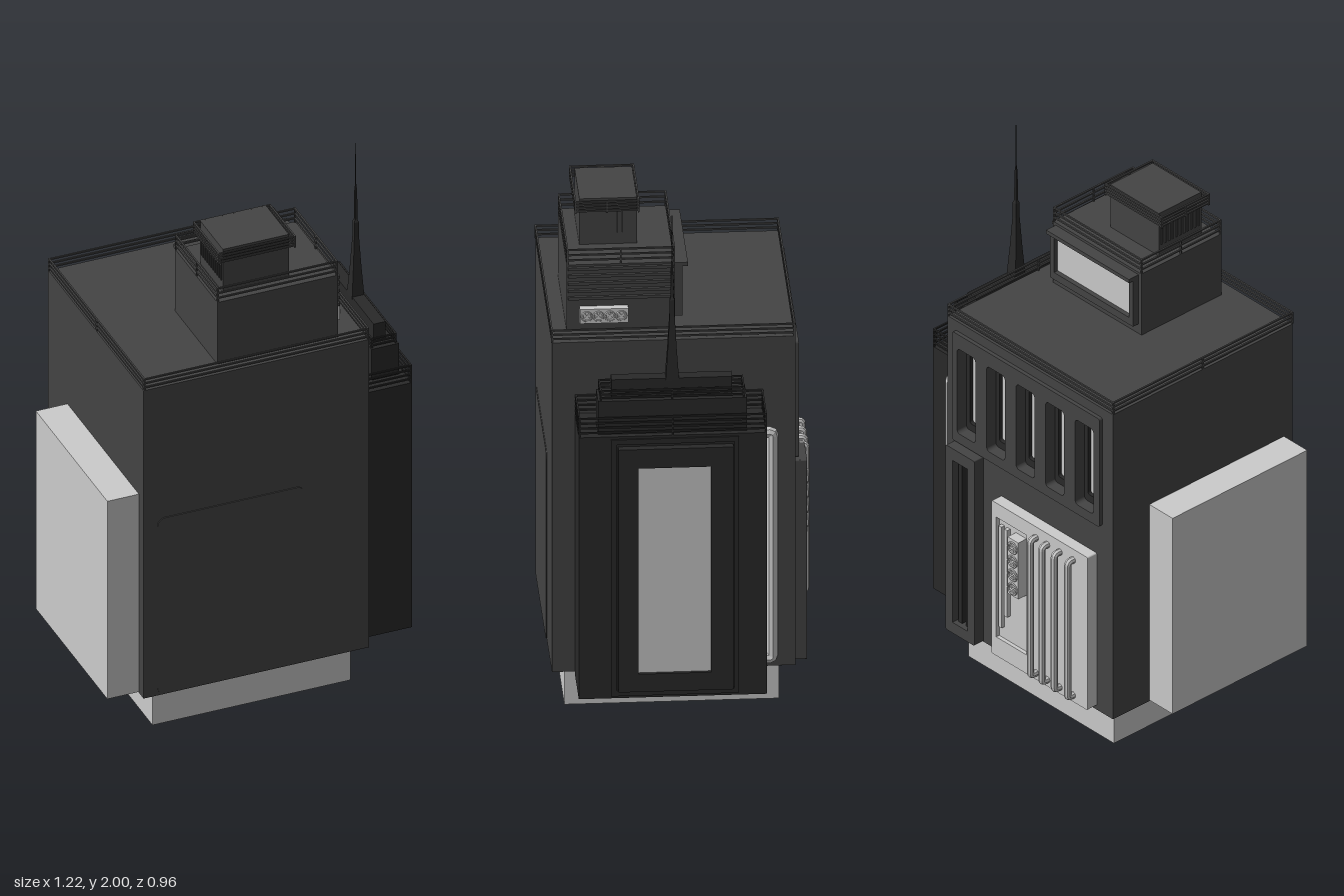
import * as THREE from 'three';

const mat = (color) => new THREE.MeshStandardMaterial({ color, flatShading: true });
const GREY = mat(0xcccccc), WALL = mat(0x444444), DARK = mat(0x292929);

// Box given by its limits on each axis
function box(parent, name, m, x0, x1, y0, y1, z0, z1) {
  const mesh = new THREE.Mesh(new THREE.BoxGeometry(x1 - x0, y1 - y0, z1 - z0), m);
  mesh.position.set((x0 + x1) / 2, (y0 + y1) / 2, (z0 + z1) / 2);
  mesh.name = name;
  parent.add(mesh);
  return mesh;
}

// Rounded rectangle traced into a Shape or Path
function roundRect(p, [u0, u1, v0, v1], r) {
  p.moveTo(u0 + r, v0);
  p.lineTo(u1 - r, v0);
  p.absarc(u1 - r, v0 + r, r, -Math.PI / 2, 0);
  p.lineTo(u1, v1 - r);
  p.absarc(u1 - r, v1 - r, r, 0, Math.PI / 2);
  p.lineTo(u0 + r, v1);
  p.absarc(u0 + r, v1 - r, r, Math.PI / 2, Math.PI);
  p.lineTo(u0, v0 + r);
  p.absarc(u0 + r, v0 + r, r, Math.PI, Math.PI * 1.5);
  return p;
}

// Flat panel with openings; turn = rotation about y, so it grows outwards from its wall
function panel(parent, name, m, outer, holes, depth, turn, x, z, r = 0.001, hr = 0.001) {
  const s = roundRect(new THREE.Shape(), outer, r);
  holes.forEach((h) => s.holes.push(roundRect(new THREE.Path(), h, hr)));
  const geo = new THREE.ExtrudeGeometry(s, { depth, bevelEnabled: false, curveSegments: 4 });
  const mesh = new THREE.Mesh(geo, m);
  mesh.rotation.y = turn;
  mesh.position.set(x, 0, z);
  mesh.name = name;
  parent.add(mesh);
}

// Roof railing: corner and middle posts with horizontal rails
function railing(parent, name, x0, x1, z0, z1, y, h, rails, m = WALL) {
  const g = new THREE.Group();
  g.name = name;
  const t = 0.003;
  for (let i = 1; i <= rails; i++) {
    const yy = y + (h * i) / rails - t;
    for (const z of [z0, z1]) box(g, 'rail', m, x0, x1, yy - t, yy + t, z - t, z + t);
    for (const x of [x0, x1]) box(g, 'rail', m, x - t, x + t, yy - t, yy + t, z0, z1);
  }
  for (const x of [x0, x1]) for (const z of [z0, (z0 + z1) / 2, z1])
    box(g, 'post', m, x - t, x + t, y, y + h, z - t, z + t);
  parent.add(g);
}

// Upright bar bent back to the wall at both ends
function handle(parent, name, x, y0, y1, zWall, zOut, r) {
  const v = (y, z) => new THREE.Vector3(x, y, z), b = 0.012;
  const path = new THREE.CurvePath();
  path.add(new THREE.LineCurve3(v(y0, zWall), v(y0, zOut + b)));
  path.add(new THREE.QuadraticBezierCurve3(v(y0, zOut + b), v(y0, zOut), v(y0 + b, zOut)));
  path.add(new THREE.LineCurve3(v(y0 + b, zOut), v(y1 - b, zOut)));
  path.add(new THREE.QuadraticBezierCurve3(v(y1 - b, zOut), v(y1, zOut), v(y1, zOut + b)));
  path.add(new THREE.LineCurve3(v(y1, zOut + b), v(y1, zWall)));
  const mesh = new THREE.Mesh(new THREE.TubeGeometry(path, 100, r, 8), GREY);
  mesh.name = name;
  parent.add(mesh);
}

function fan(parent, r, x, y, z, turn) {
  const ring = new THREE.Mesh(new THREE.TorusGeometry(r, 0.004, 6, 16), GREY);
  ring.position.set(x, y, z);
  ring.rotation.y = turn;
  ring.name = 'fanRing';
  parent.add(ring);
  for (const a of [Math.PI / 4, -Math.PI / 4]) {
    const blade = new THREE.Mesh(new THREE.BoxGeometry(r * 2, 0.006, 0.006), GREY);
    blade.rotation.set(0, turn, a);
    blade.position.copy(ring.position);
    blade.name = 'fanBlade';
    parent.add(blade);
  }
}

// Square stack of cross-sections [half width, y], from the bottom centre upwards
function squareLathe(parent, name, m, profile, x, z) {
  const pts = profile.map(([h, y]) => new THREE.Vector2(h * Math.SQRT2, y));
  const mesh = new THREE.Mesh(new THREE.LatheGeometry(pts, 4, Math.PI / 4), m);
  mesh.position.set(x, 0, z);
  mesh.name = name;
  parent.add(mesh);
}

export function createModel() {
  const g = new THREE.Group();
  g.name = 'building';

  // Plinth with stepped underside
  squareLathe(g, 'plinth', GREY, [[0, 0.07], [0.06, 0.07], [0.08, 0.03], [0.14, 0.03], [0.22, 0.07],
    [0.28, 0.07], [0.28, 0.03], [0.32, 0.03], [0.32, 0.015], [0.355, 0.015], [0.355, 0],
    [0.3825, 0], [0.3825, 0.155], [0, 0.155]], -0.053, 0.042);

  // Main block, with a back wall pierced by five windows
  const slots = [0.265, 0.11, -0.045, -0.2, -0.355].map((x) => [-x - 0.048, -x + 0.048, 0.99, 1.35]);
  box(g, 'mainBlock', WALL, -0.49, 0.38, 0.153, 1.45, -0.34, 0.472);
  panel(g, 'backWall', WALL, [-0.38, 0.49, 0.153, 1.45], slots, 0.055, Math.PI, 0, -0.34, 0.001, 0.015);
  panel(g, 'windowSurround', WALL, [-0.34, 0.435, 0.95, 1.41], slots, 0.015, Math.PI, 0, -0.395, 0.01, 0.015);
  slots.forEach(([u0, u1]) => {
    panel(g, 'windowFrame', DARK, [u0, u1, 0.99, 1.35], [[u0 + 0.018, u1 - 0.018, 1.02, 1.32]],
      0.02, Math.PI, 0, -0.345, 0.015, 0.01);
    box(g, 'windowGlass', GREY, -u1 + 0.015, -u0 - 0.015, 1.01, 1.33, -0.35, -0.338);
  });
  railing(g, 'roofRailing', -0.487, 0.377, -0.392, 0.472, 1.45, 0.05, 3);
  panel(g, 'frontPanel', WALL, [-0.437, 0.13, 0.157, 0.897], [], 0.004, 0, 0, 0.472, 0.03);
  box(g, 'sideBillboard', GREY, -0.612, -0.49, 0.157, 0.99, -0.22, 0.43);

  // Narrow framed bay at the back
  panel(g, 'backBay', WALL, [-0.34, -0.19, 0.155, 0.94], [[-0.305, -0.225, 0.2, 0.89]], 0.045, Math.PI, 0, -0.395, 0.004);
  for (const x of [0.245, 0.285])
    box(g, 'bayRib', DARK, x - 0.01, x + 0.01, 0.2, 0.89, -0.42, -0.39);

  // Service panel at the back: pipes, vents and a fan unit
  panel(g, 'servicePanel', GREY, [-0.1, 0.405, 0.17, 0.82], [[-0.075, 0.085, 0.25, 0.76]], 0.045, Math.PI, 0, -0.395, 0.006);
  box(g, 'serviceRecess', GREY, -0.09, 0.08, 0.24, 0.77, -0.425, -0.39);
  for (const x of [-0.33, -0.26, -0.195, -0.135])
    handle(g, 'servicePipe', x, 0.2, 0.775, -0.43, -0.467, 0.013);
  for (const [x, y0] of [[0.055, 0.3], [0.025, 0.36]])
    box(g, 'ventStrip', GREY, x - 0.008, x + 0.008, y0, 0.73, -0.44, -0.42);
  box(g, 'fanUnit', GREY, -0.068, -0.012, 0.49, 0.73, -0.465, -0.42);
  for (let i = 0; i < 4; i++) fan(g, 0.022, -0.04, 0.522 + i * 0.058, -0.467, 0);

  // Side wing with its tall window
  box(g, 'sideWing', DARK, 0.38, 0.582, 0.14, 1.17, -0.28, 0.39);
  const glass = [-0.18, 0.08, 0.245, 1.055];
  panel(g, 'wingFrame', DARK, [-0.275, 0.18, 0.15, 1.16], [[-0.255, 0.165, 0.17, 1.14]], 0.006, Math.PI / 2, 0.582, 0);
  panel(g, 'wingWindowFrame', DARK, [-0.25, 0.16, 0.175, 1.13], [glass], 0.028, Math.PI / 2, 0.582, 0);
  box(g, 'wingWindow', GREY, 0.575, 0.598, 0.245, 1.055, -0.08, 0.18);
  handle(g, 'wingPipe', 0.452, 0.22, 1.11, -0.27, -0.31, 0.021);
  railing(g, 'wingRailing', 0.385, 0.578, -0.277, 0.387, 1.17, 0.075, 4, DARK);
  box(g, 'wingStep', DARK, 0.455, 0.56, 1.17, 1.3, -0.21, 0.32);
  railing(g, 'stepRailing', 0.46, 0.552, -0.2, 0.31, 1.3, 0.04, 3, DARK);
  box(g, 'wingRidge', DARK, 0.484, 0.53, 1.3, 1.37, -0.16, 0.27);

  // Antenna
  squareLathe(g, 'antenna', DARK, [[0, 1.36], [0.024, 1.36], [0.016, 1.48], [0.009, 1.61], [0.009, 1.67],
    [0.005, 1.68], [0.004, 1.8], [0.0015, 1.83], [0.001, 2.0], [0, 2.0]], 0.507, 0.053);

  // Roof tower
  box(g, 'roofTower', WALL, -0.18, 0.285, 1.45, 1.71, 0.027, 0.413);
  railing(g, 'towerRailing', -0.177, 0.282, 0.03, 0.41, 1.71, 0.06, 3);
  panel(g, 'towerScreenFrame', WALL, [-0.27, 0.165, 1.49, 1.7], [[-0.25, 0.145, 1.52, 1.68]], 0.027, Math.PI, 0, 0.027);
  box(g, 'towerScreen', GREY, -0.148, 0.253, 1.515, 1.685, 0.018, 0.035);
  box(g, 'towerVisor', WALL, -0.165, 0.27, 1.685, 1.7, -0.02, 0.027);
  for (let i = 0; i < 5; i++)
    box(g, 'towerSidePipe', WALL, 0.285, 0.296, 1.575 + i * 0.029, 1.586 + i * 0.029, 0.032, 0.408);
  box(g, 'coolingUnit', GREY, 0.285, 0.313, 1.49, 1.546, 0.195, 0.368);
  for (let i = 0; i < 4; i++) fan(g, 0.017, 0.314, 1.518, 0.22 + i * 0.041, Math.PI / 2);

  // Rooftop hut with slatted sides and a rail band
  box(g, 'hut', WALL, -0.135, 0.12, 1.71, 1.89, 0.152, 0.357);
  for (let i = 0; i < 11; i++) {
    const z = 0.164 + i * 0.018;
    for (const x of [-0.135, 0.12])
      box(g, 'hutSlat', WALL, x - 0.004, x + 0.004, 1.755, 1.84, z - 0.004, z + 0.004);
  }
  railing(g, 'hutRailBand', -0.157, 0.137, 0.146, 0.372, 1.84, 0.048, 4);

  return g;
}
